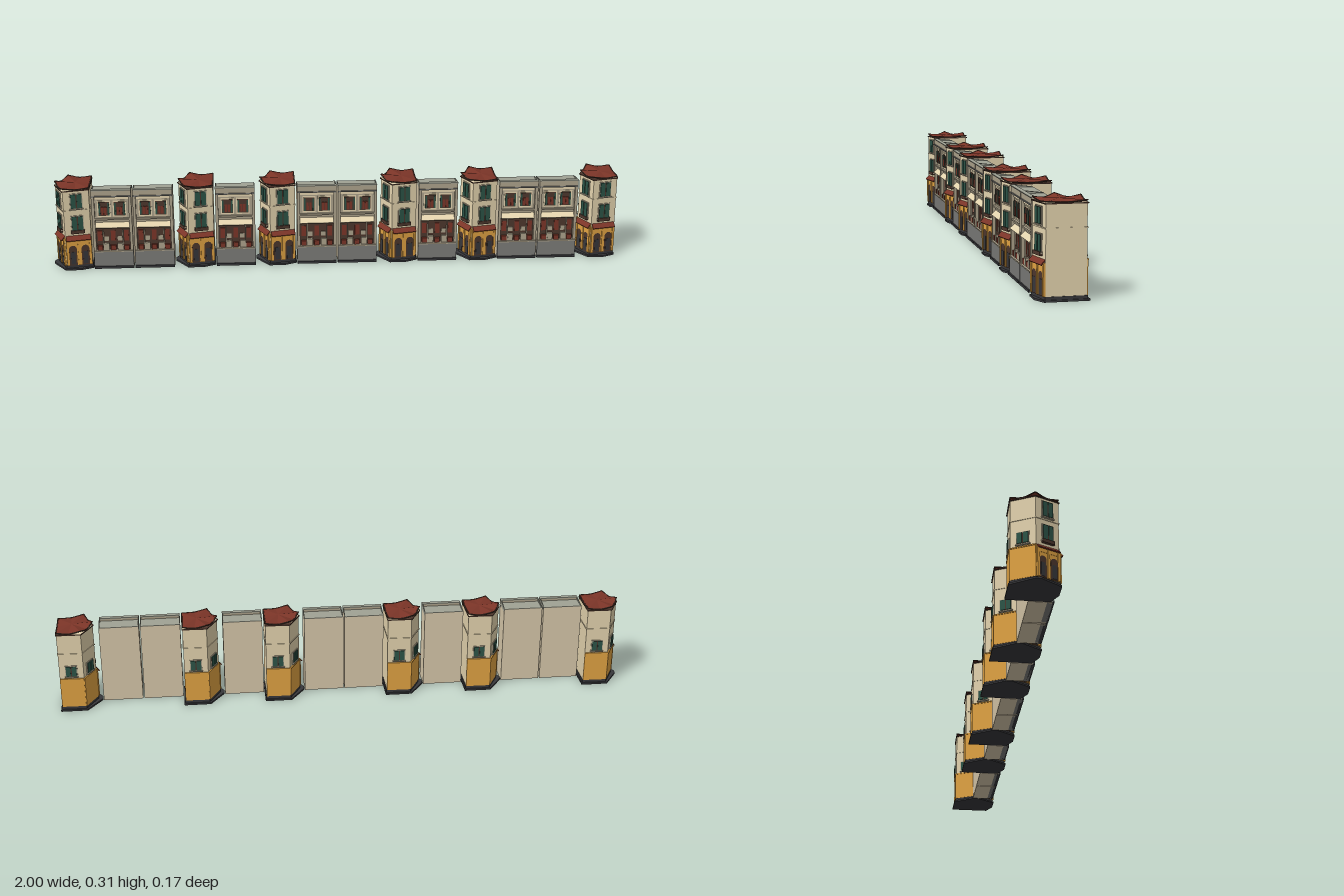
import * as THREE from 'three';

const mat = (name, color) => {
  const m = new THREE.MeshStandardMaterial({ color, side: THREE.DoubleSide });
  m.name = name;
  return m;
};
const M = {
  cream: mat('cream plaster', 0xe6d6b0),
  ochre: mat('ochre paint', 0xe3a443),
  green: mat('green shutters', 0x2d5548),
  red: mat('red roof tile', 0x7c3528),
  dark: mat('dark pavement', 0x38383b),
  brown: mat('dark interior', 0x4d372d),
  grey: mat('grey stone', 0x7b7b78),
  beige: mat('beige stone', 0xaea38c),
  rear: mat('rear plaster', 0xd9caac),
  roof: mat('pale grey roof', 0xa0a294),
};

const SLOT = 2 / 14;

function add(parent, name, geometry, material) {
  const mesh = new THREE.Mesh(geometry, material);
  mesh.name = name;
  parent.add(mesh);
  return mesh;
}

// Box given by its centre x, bottom y, back z
function box(parent, name, material, x, y, z, w, h, d) {
  const m = add(parent, name, new THREE.BoxGeometry(w, h, d), material);
  m.position.set(x, y + h / 2, z + d / 2);
  return m;
}

// Upright prism over a plan of [x, z] points
function prism(parent, name, material, plan, y, h) {
  const shape = new THREE.Shape(plan.map(([x, z]) => new THREE.Vector2(x, -z)));
  const g = new THREE.ExtrudeGeometry(shape, { depth: h, bevelEnabled: false });
  g.rotateX(-Math.PI / 2).translate(0, y, 0);
  return add(parent, name, g, material);
}

// Plan order: front left, front right, back right, back left, side tip
const WALL = [[0.05, 0.074], [0.138, 0.055], [0.138, -0.07], [0.055, -0.072], [0.017, 0.0]];
const BASE = [[0.045, 0.08], [0.1, 0.08], [SLOT, 0.06], [SLOT, -0.079], [0.05, -0.079], [0, -0.005], [0, 0.012]];
const CORNER_Y = [0.3, 0.296, 0.298, 0.302, 0.304];

// Outline pushed away from its middle
const grow = (plan, k) => plan.map(([x, z]) => [Math.min(0.09 + (x - 0.09) * k, SLOT - 0.002), z * k]);

// Group lying on one wall: x along it, z outward
function wallFrame(parent, i) {
  const [a, b] = [WALL[i], WALL[(i + 1) % WALL.length]];
  const f = new THREE.Group();
  f.name = 'wall' + i;
  f.position.set((a[0] + b[0]) / 2, 0, (a[1] + b[1]) / 2);
  f.rotation.y = Math.atan2(-(b[1] - a[1]), b[0] - a[0]);
  f.userData.width = Math.hypot(b[0] - a[0], b[1] - a[1]);
  parent.add(f);
  return f;
}

function shutteredWindow(f, x, y, w, h) {
  box(f, 'windowFrame', M.beige, x, y - 0.003, 0, w + 0.006, h + 0.006, 0.003);
  box(f, 'windowPane', M.brown, x, y, 0, w, h, 0.004);
  for (const s of [-1, 1]) box(f, 'shutter', M.green, x + s * w * 0.28, y, 0, w * 0.44, h, 0.006);
  box(f, 'windowSill', M.beige, x, y - 0.006, 0, w + 0.01, 0.004, 0.007);
}

// Tiled roof with upturned corners
function createRoof(parent) {
  const eave = grow(WALL, 1), pos = [];
  eave.forEach(([x, z], i) => {
    const j = (i + 1) % eave.length, [nx, nz] = eave[j];
    const mid = [(x + nx) / 2, 0.293, (z + nz) / 2];
    pos.push(x, CORNER_Y[i], z, ...mid, 0.088, 0.299, 0);
    pos.push(...mid, nx, CORNER_Y[j], nz, 0.088, 0.299, 0);
    // Dark edge around the tiles
    const curve = new THREE.CatmullRomCurve3([
      new THREE.Vector3(x, CORNER_Y[i], z), new THREE.Vector3(...mid), new THREE.Vector3(nx, CORNER_Y[j], nz)]);
    add(parent, 'roofEdge', new THREE.TubeGeometry(curve, 6, 0.0022, 5), M.brown);
  });
  const g = new THREE.BufferGeometry();
  g.setAttribute('position', new THREE.Float32BufferAttribute(pos, 3));
  g.computeVertexNormals();
  add(parent, 'tiledRoof', g, M.red);
}

function createTower() {
  const t = new THREE.Group();
  t.name = 'cornerTower';
  prism(t, 'pavement', M.dark, BASE, 0, 0.006);
  prism(t, 'plinth', M.dark, grow(WALL, 1.03), 0.004, 0.012);
  prism(t, 'towerWalls', M.cream, WALL, 0.012, 0.279);
  prism(t, 'upperBand', M.cream, grow(WALL, 1.03), 0.215, 0.004);
  prism(t, 'cornice', M.brown, grow(WALL, 1.05), 0.288, 0.003);
  createRoof(t);

  for (const i of [0, 2, 3, 4]) {
    const f = wallFrame(t, i), w = f.userData.width, street = i === 0 || i === 4;
    if (i > 0) box(f, 'ochreGroundFloor', M.ochre, 0, 0.016, 0, w, 0.106, 0.003);
    if (!street) {
      // Rear walls have one small window each
      shutteredWindow(f, 0, 0.134, 0.036, 0.036);
      box(f, 'floorBand', M.ochre, 0, 0.12, 0, w, 0.004, 0.005);
      continue;
    }
    // Shop doors in ochre frames, shuttered windows above
    for (const s of [-1, 1]) {
      const x = s * w * 0.24, dw = w * 0.3;
      box(f, 'doorFrame', M.ochre, x, 0.016, 0, dw + 0.01, 0.086, 0.004);
      box(f, 'shopDoor', M.brown, x, 0.016, 0, dw, 0.06, 0.005);
      box(f, 'doorPanel', M.dark, x, 0.02, 0, dw * 0.6, 0.046, 0.006);
      const arch = add(f, 'doorArch', new THREE.CircleGeometry(dw / 2, 12, 0, Math.PI), M.brown);
      arch.position.set(x, 0.076, 0.005);
    }
    for (const s of [-1, 0, 1]) box(f, 'pilaster', M.ochre, s * (w / 2 - 0.005), 0.016, 0, 0.008, 0.1, 0.007);
    box(f, 'shopHeader', M.ochre, 0, 0.1, 0, w * 0.96, 0.014, 0.005);
    const awning = box(f, 'tiledAwning', M.red, 0, 0.115, -0.004, w * 0.94, 0.004, 0.02);
    awning.rotation.x = 0.8;
    shutteredWindow(f, 0, 0.146, w * 0.42, 0.05);
    shutteredWindow(f, 0, 0.227, w * 0.42, 0.05);
    box(f, 'balconyRail', M.brown, 0, 0.134, 0, w * 0.52, 0.012, 0.009);
  }
  return t;
}

function createHouse() {
  const h = new THREE.Group();
  h.name = 'shophouse';
  const c = SLOT / 2, W = 0.138;
  box(h, 'houseBody', M.rear, c, 0, -0.008, W, 0.28, 0.058);
  box(h, 'flatRoof', M.roof, c, 0.28, -0.008, W, 0.001, 0.058);
  box(h, 'frontParapet', M.beige, c, 0.268, 0.054, W, 0.02, 0.01);

  // Party walls with sloping tops
  const side = new THREE.Shape([[0.008, 0.27], [0.008, 0.282], [-0.056, 0.29], [-0.056, 0.27]]
    .map(([x, y]) => new THREE.Vector2(x, y)));
  for (const s of [-1, 1]) {
    box(h, 'partyWall', M.beige, c + s * (W / 2 - 0.005), 0, 0.05, 0.01, 0.268, 0.015);
    const g = new THREE.ExtrudeGeometry(side, { depth: 0.003, bevelEnabled: false });
    g.rotateY(Math.PI / 2).translate(c + s * (W / 2 - 0.0015) - 0.0015, 0, 0);
    add(h, 'slopingCoping', g, M.roof);
  }

  // Stone plinth
  box(h, 'stonePlinth', M.grey, c, 0, 0.05, W, 0.064, 0.017);
  box(h, 'frontStep', M.dark, c, 0, 0.06, W, 0.008, 0.012);
  box(h, 'plinthCap', M.beige, c, 0.061, 0.05, W, 0.004, 0.019);

  // Open shop with stalls
  box(h, 'shopInterior', M.brown, c, 0.064, 0.049, W - 0.02, 0.09, 0.003);
  for (let i = 0; i < 5; i++) {
    const x = c + (i - 2) * 0.023, odd = i % 2;
    box(h, 'stall', odd ? M.beige : M.red, x, 0.064, 0.05, 0.018, 0.018 + odd * 0.008, 0.012);
    box(h, 'shopPanel', odd ? M.beige : M.red, x, 0.098, 0.05, 0.016, 0.038 - odd * 0.022, 0.004);
  }
  for (const s of [-1, 1]) box(h, 'shopPost', M.beige, c + s * 0.034, 0.064, 0.056, 0.004, 0.09, 0.005);
  const awning = box(h, 'clothAwning', M.cream, c, 0.158, 0.046, W - 0.02, 0.003, 0.026);
  awning.rotation.x = 0.75;

  // Upper floor with two wide windows
  box(h, 'upperWall', M.beige, c, 0.168, 0.05, W - 0.02, 0.1, 0.005);
  box(h, 'upperSill', M.beige, c, 0.178, 0.052, W - 0.02, 0.005, 0.011);
  box(h, 'creamFrieze', M.cream, c, 0.253, 0.052, W - 0.02, 0.009, 0.006);
  box(h, 'lowerCornice', M.grey, c, 0.264, 0.052, W, 0.004, 0.016);
  box(h, 'topCornice', M.roof, c, 0.287, 0.052, W, 0.003, 0.016);
  for (const s of [-1, 1]) {
    const x = c + s * 0.027;
    box(h, 'windowSurround', M.cream, x, 0.188, 0.054, 0.046, 0.06, 0.002);
    box(h, 'upperWindow', M.brown, x, 0.193, 0.055, 0.038, 0.05, 0.003);
    for (const k of [-1, 1]) {
      box(h, 'windowLeaf', M.red, x + k * 0.005, 0.197, 0.056, 0.008, 0.028, 0.004);
      box(h, 'windowShutter', M.green, x + k * 0.0155, 0.195, 0.056, 0.005, 0.045, 0.004);
    }
  }
  return h;
}

export function createModel() {
  const row = new THREE.Group();
  row.name = 'shophouseRow';
  // T is a corner tower, H a house
  [...'THHTHTHHTHTHHT'].forEach((kind, i) => {
    const unit = kind === 'T' ? createTower() : createHouse();
    unit.position.x = -1 + i * SLOT;
    row.add(unit);
  });
  return row;
}
